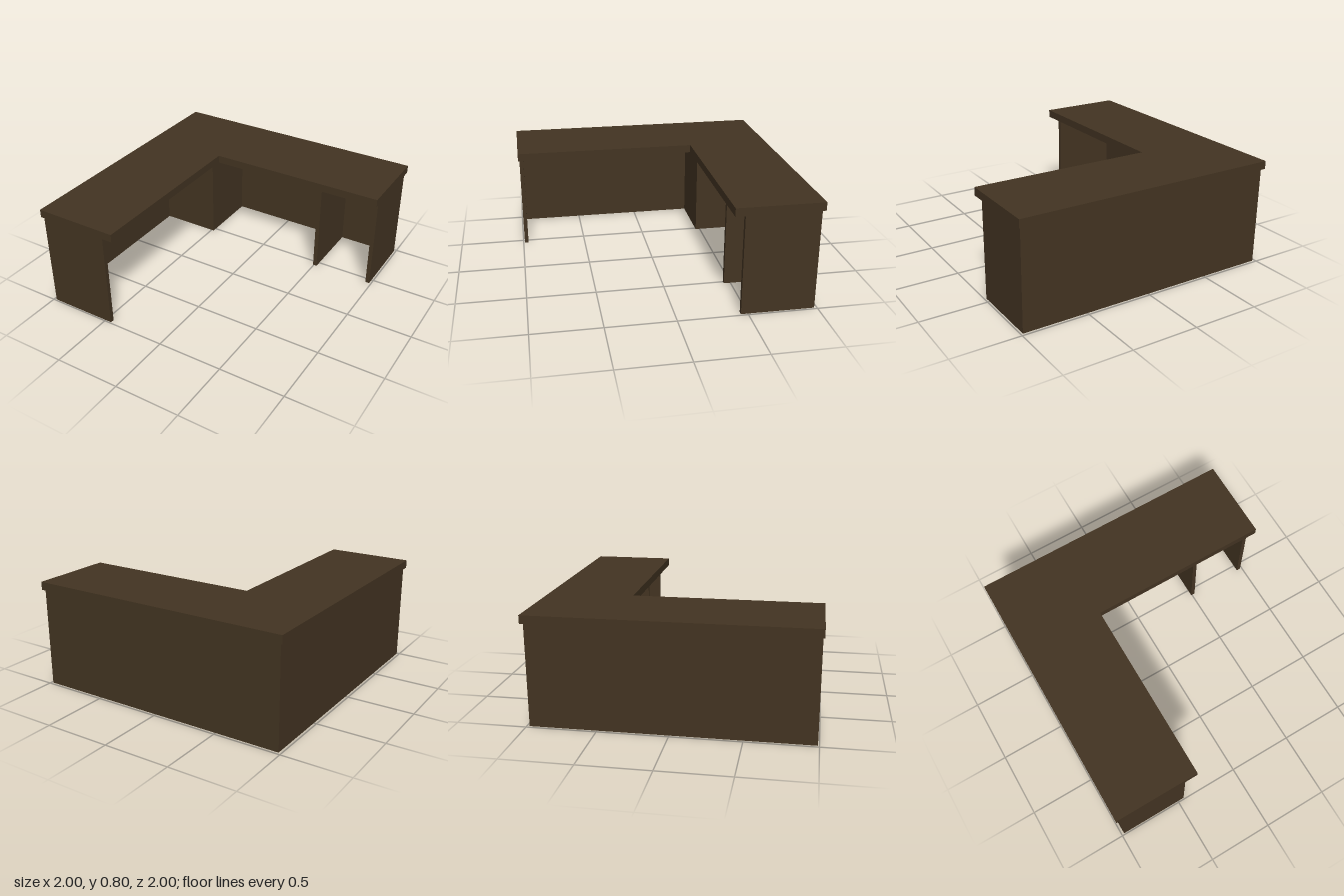
import * as THREE from 'three';

export function createModel() {
  const desk = new THREE.Group();
  desk.name = 'cornerDesk';
  const darkWood = new THREE.MeshStandardMaterial({ color: 0x433422 });
  darkWood.name = 'darkWood';

  const TOP = 0.8, UNDER = 0.74;

  // L-shaped worktop, drawn in plan (shape y = -z) and laid flat
  const plan = new THREE.Shape([
    [-1, -1], [-0.36, -1], [-0.36, 0.375], [1, 0.375], [1, 1], [-1, 1],
  ].map(([x, y]) => new THREE.Vector2(x, y)));
  const topGeometry = new THREE.ExtrudeGeometry(plan, { depth: TOP - UNDER, bevelEnabled: false });
  topGeometry.rotateX(-Math.PI / 2).translate(0, UNDER, 0);
  const worktop = new THREE.Mesh(topGeometry, darkWood);
  worktop.name = 'worktop';
  desk.add(worktop);

  // Upright panel standing on the floor, given by its plan extents
  function panel(name, x0, x1, z0, z1) {
    const mesh = new THREE.Mesh(new THREE.BoxGeometry(x1 - x0, UNDER, z1 - z0), darkWood);
    mesh.position.set((x0 + x1) / 2, UNDER / 2, (z0 + z1) / 2);
    mesh.name = name;
    desk.add(mesh);
  }

  // Outer walls
  panel('backPanel', -0.98, 0.985, -0.98, -0.95);
  panel('sidePanel', -0.98, -0.95, -0.95, 0.96);

  // End supports of both wings and the inner divider
  panel('frontEndPanel', -0.98, -0.45, 0.96, 0.99);
  panel('leftEndPanel', 0.953, 0.985, -0.95, -0.45);
  panel('divider', 0.493, 0.525, -0.95, -0.45);

  // Hollow corner box
  panel('cornerBoxFront', -0.95, -0.48, -0.495, -0.465);
  panel('cornerBoxSide', -0.51, -0.48, -0.95, -0.495);

  return desk;
}
